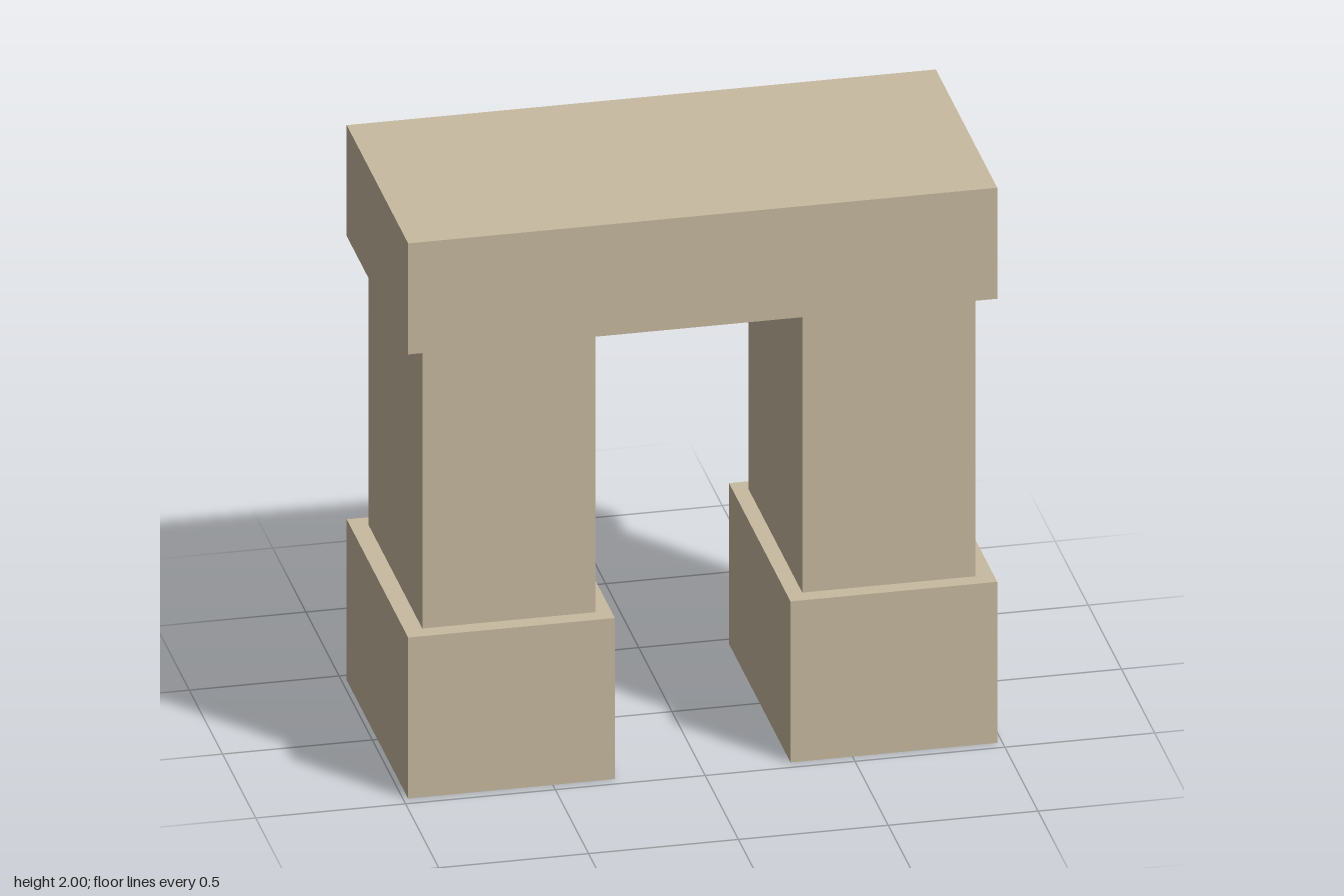
import * as THREE from 'three';

export function createModel() {
  const group = new THREE.Group();
  const stone = new THREE.MeshStandardMaterial({ color: 0xc8baa0 });

  // Block spanning bottom..top, centred on x
  function block(name, x, bottom, top, width, depth) {
    const mesh = new THREE.Mesh(new THREE.BoxGeometry(width, top - bottom, depth), stone);
    mesh.name = name;
    mesh.position.set(x, (bottom + top) / 2, 0);
    group.add(mesh);
  }

  // Two pillars, each on a wider plinth
  for (const [side, s] of [['left', 1], ['right', -1]]) {
    block(side + 'Plinth', s * 0.638, 0, 0.58, 0.69, 0.925);
    block(side + 'Pillar', s * 0.634, 0.58, 1.6, 0.578, 0.81);
  }

  // Lintel slab across the top
  block('lintel', 0, 1.6, 2, 1.966, 0.925);

  return group;
}
